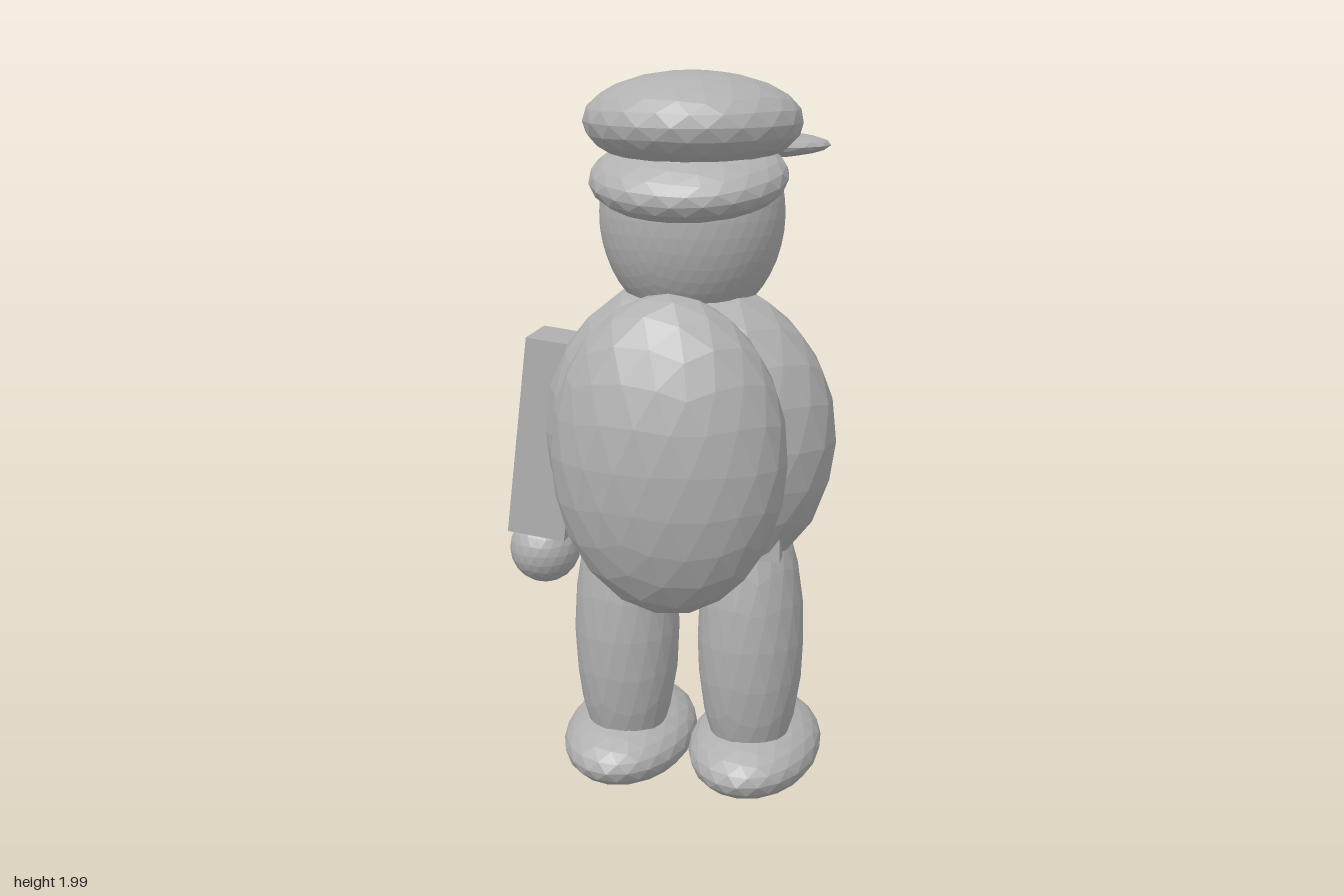
import * as THREE from 'three';

export function createModel() {
  const model = new THREE.Group();
  const grey = new THREE.MeshStandardMaterial({ color: 0xb0b0b0, flatShading: true });
  grey.name = 'plain grey';
  const mid = 0.07; // x of the body's centre line

  function add(name, geometry, [x, y, z], [rx, ry, rz] = [0, 0, 0]) {
    const mesh = new THREE.Mesh(geometry, grey);
    mesh.name = name;
    mesh.position.set(x, y, z);
    mesh.rotation.set(rx, ry, rz);
    model.add(mesh);
    return mesh;
  }

  // Faceted ball with a vertex at the top, stretched to the given radii
  function ball(name, radii, position, rotation, detail = 3) {
    const g = new THREE.IcosahedronGeometry(1, detail);
    g.rotateZ(-Math.atan(2 / (1 + Math.sqrt(5))));
    g.scale(...radii);
    g.computeVertexNormals();
    return add(name, g, position, rotation);
  }

  const box = (name, size, position, rotation) =>
    add(name, new THREE.BoxGeometry(...size), position, rotation);

  // Torso, backpack, belt and chest strip
  ball('torso', [0.402, 0.435, 0.25], [mid, 1.035, 0]);
  ball('backpack', [0.312, 0.427, 0.2], [mid, 1.035, 0.25]);
  box('belt', [0.545, 0.08, 0.26], [mid, 0.76, -0.02]);
  box('chestStrip', [0.11, 0.385, 0.03], [mid, 1.135, -0.245]);

  // Legs and feet
  for (const [side, s] of [['left', 1], ['right', -1]]) {
    ball(side + 'Leg', [0.148, 0.43, 0.148], [mid + s * 0.177, 0.46, -0.005]);
    ball(side + 'Foot', [0.186, 0.102, 0.29], [mid + s * 0.183, 0.109, -0.07], [0.03, 0, 0]);
  }

  // Single arm with a round hand
  box('arm', [0.166, 0.565, 0.17], [-0.335, 0.99, -0.07], [0, 0, -0.116]);
  ball('hand', [0.102, 0.102, 0.102], [-0.378, 0.638, -0.107]);

  // Head and face, looking towards -z
  ball('head', [0.248, 0.3, 0.212], [mid, 1.63, -0.025], undefined, 7);
  ball('nose', [0.042, 0.042, 0.042], [mid, 1.543, -0.262]);
  for (const [side, s] of [['left', 1], ['right', -1]]) {
    ball(side + 'Eye', [0.028, 0.052, 0.022], [mid + s * 0.095, 1.615, -0.222]);
    ball(side + 'Brow', [0.045, 0.014, 0.02], [mid + s * 0.095, 1.69, -0.222]);
  }

  // Cap: crown, tilted band, peak and badge
  ball('capCrown', [0.292, 0.13, 0.262], [mid, 1.87, -0.03]);
  ball('capBand', [0.265, 0.1, 0.225], [mid, 1.73, 0.02], [0.25, 0, 0]);
  ball('capPeak', [0.33, 0.043, 0.163], [mid, 1.79, -0.288]);
  ball('capBadge', [0.135, 0.066, 0.04], [mid + 0.005, 1.895, -0.265], [0.15, 0, 0]);

  return model;
}
